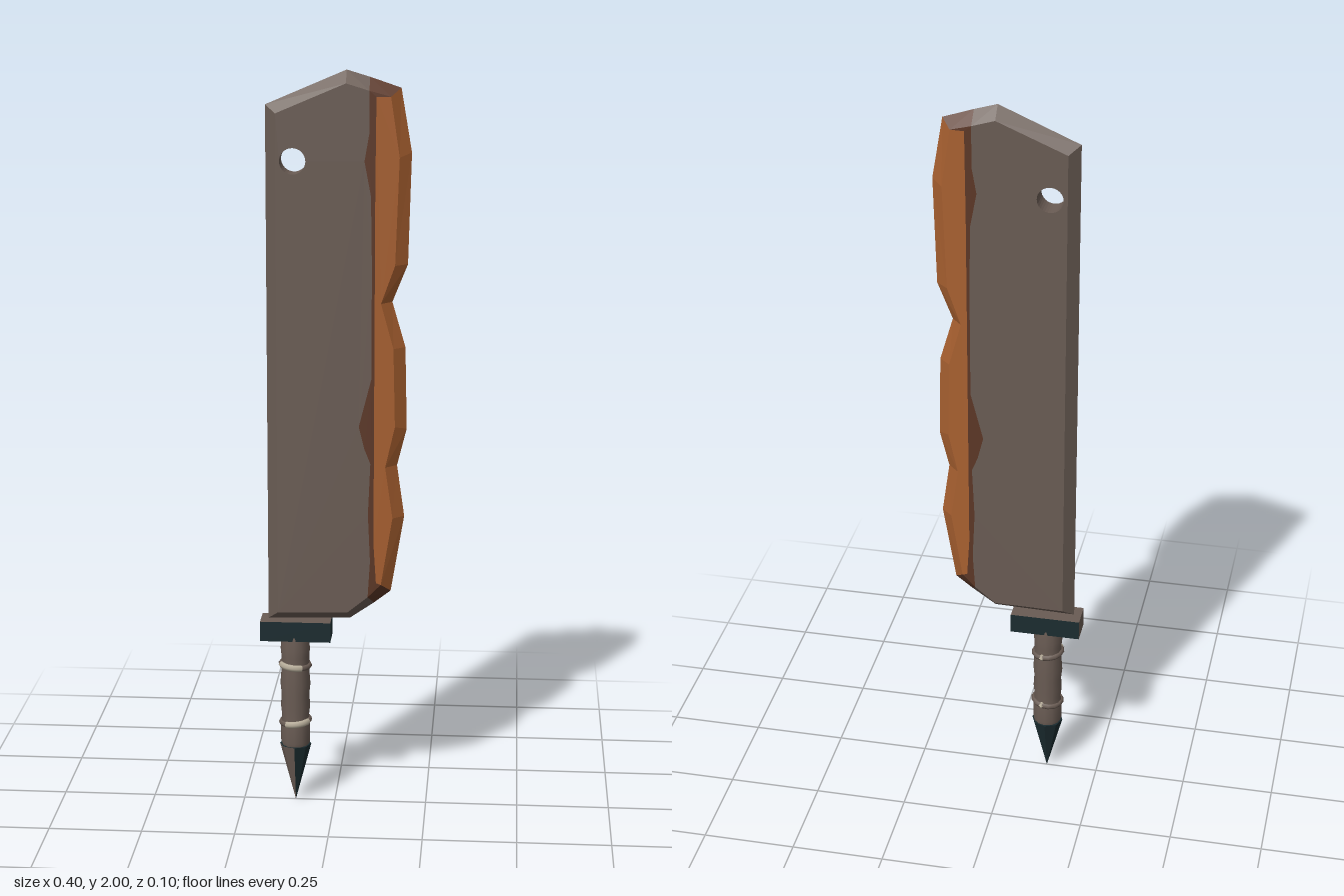
import * as THREE from 'three';

const mat = (name, color) => {
  const m = new THREE.MeshStandardMaterial({ color });
  m.name = name;
  return m;
};

export function createModel() {
  const steel = mat('dull steel', 0x6a5c54);
  const orange = mat('rust orange', 0xa86030);
  const brown = mat('dark rust', 0x5c3726);
  const teal = mat('dark teal', 0x1b2c30);
  const cream = mat('cream cord', 0xb5ab98);

  const group = new THREE.Group();
  const add = (name, geo, material, parent = group) => {
    const mesh = new THREE.Mesh(geo, material);
    mesh.name = name;
    parent.add(mesh);
    return mesh;
  };

  // Blade rim, counter-clockwise: outer x, y and the matching point on the flat face
  const rim = [
    [-0.18, 0.525, -0.152, 0.55], [0.04, 0.53, 0.035, 0.555],
    [0.105, 0.575, 0.09, 0.6], [0.15, 0.61, 0.125, 0.635],
    [0.185, 0.82, 0.155, 0.82], [0.165, 0.96, 0.135, 0.96],
    [0.19, 1.06, 0.16, 1.07], [0.185, 1.28, 0.155, 1.28],
    [0.15, 1.4, 0.122, 1.4], [0.19, 1.5, 0.158, 1.5],
    [0.198, 1.79, 0.168, 1.78], [0.17, 1.955, 0.145, 1.935],
    [0.09, 1.982, 0.09, 1.95], [0.03, 2.0, 0.03, 1.968],
    [-0.18, 1.91, -0.152, 1.89],
  ];
  const inset = rim.map((p) => [p[2], p[3]]);
  const rustBorder = [
    [0.09, 1.84], [0.078, 1.77], [0.095, 1.68], [0.098, 1.5], [0.098, 1.2],
    [0.065, 1.07], [0.08, 1.01], [0.096, 0.97], [0.09, 0.83], [0.096, 0.7],
  ];
  const edgeBorder = [[0.108, 1.935], [0.106, 1.7], [0.105, 0.75], [0.112, 0.64]];

  // Half thickness of the blade, fullest beside the cutting edge
  const half = (x) => (x < 0.1 ? 0.033 - (0.1 - x) * 0.02 : 0.033 - (x - 0.1) * 0.07);

  const plate = (name, pts, material, hole) => {
    const shape = new THREE.Shape(pts.map((p) => new THREE.Vector2(...p)));
    if (hole) shape.holes.push(hole);
    const geo = new THREE.ExtrudeGeometry(shape, { depth: 1, bevelEnabled: false, curveSegments: 16 });
    const pos = geo.attributes.position;
    for (let i = 0; i < pos.count; i++) {
      pos.setZ(i, (pos.getZ(i) > 0.5 ? 1 : -1) * half(pos.getX(i)));
    }
    geo.computeVertexNormals();
    add(name, geo, material);
  };

  // Flat faces of the blade
  const hole = new THREE.Path().absarc(-0.108, 1.768, 0.034, 0, Math.PI * 2, true);
  plate('bladeBody', [...inset.slice(0, 3), ...[...rustBorder].reverse(), ...inset.slice(12)], steel, hole);
  plate('rustBand', [inset[2], inset[3], ...[...edgeBorder].reverse(), inset[11], inset[12], ...rustBorder], brown);
  plate('cuttingFace', [...inset.slice(3, 12), ...edgeBorder], orange);

  // Bevel all round, meeting in a sharp line at z = 0
  const verts = [];
  const bevel = new THREE.BufferGeometry();
  rim.forEach((a, i) => {
    const b = rim[(i + 1) % rim.length];
    const oa = [a[0], a[1], 0], ob = [b[0], b[1], 0];
    for (const s of [1, -1]) {
      const ia = [a[2], a[3], s * half(a[2])], ib = [b[2], b[3], s * half(b[2])];
      const quad = s > 0 ? [ia, oa, ob, ia, ob, ib] : [ia, ob, oa, ia, ib, ob];
      verts.push(...quad.flat());
    }
    const m = i === 2 || i === 11 ? 1 : i > 2 && i < 11 ? 2 : 0;
    bevel.addGroup(i * 12, 12, m);
  });
  bevel.setAttribute('position', new THREE.Float32BufferAttribute(verts, 3));
  bevel.computeVertexNormals();
  add('bladeBevel', bevel, [steel, brown, orange]);

  // Guard: bare on top and at its back end
  const guard = add('guard', new THREE.BoxGeometry(0.19, 0.055, 0.073),
    [teal, steel, steel, teal, teal, teal]);
  guard.position.set(-0.105, 0.4975, 0);

  // Handle
  const handle = new THREE.Group();
  handle.name = 'handle';
  handle.position.x = -0.108;
  group.add(handle);
  const profile = [
    [0.036, 0.16], [0.04, 0.175], [0.04, 0.225], [0.037, 0.25], [0.04, 0.275],
    [0.038, 0.31], [0.041, 0.34], [0.038, 0.38], [0.038, 0.42], [0.04, 0.44], [0.037, 0.48],
  ].map((p) => new THREE.Vector2(...p));
  add('grip', new THREE.LatheGeometry(profile, 12), steel, handle);

  // Binding cords: a full ring with paler lengths in front and a knot behind
  [[0.232, 0.1, -0.3], [0.395, -0.08, 0.3]].forEach(([y, tilt, turn]) => {
    const binding = new THREE.Group();
    binding.name = 'binding';
    binding.position.y = y;
    binding.rotation.z = tilt;
    handle.add(binding);
    const cord = (name, tube, arc, start, material) => {
      const geo = new THREE.TorusGeometry(0.038, tube, 6, 14, arc);
      geo.rotateX(Math.PI / 2).rotateY(-start);
      add(name, geo, material, binding);
    };
    cord('bindingRing', 0.008, Math.PI * 2, 0, steel);
    cord('frontCord', 0.0095, 1.7, 0.75 + turn, cream);
    const knot = add('backKnot', new THREE.OctahedronGeometry(0.012), cream, binding);
    knot.position.set(0.01, 0, -0.037);
  });

  // Spike pommel, with one bare side
  const spike = new THREE.CylinderGeometry(0.043, 0, 0.165, 8, 1).toNonIndexed();
  spike.clearGroups();
  const p = spike.attributes.position;
  for (let i = 0; i < p.count; i += 3) {
    const x = p.getX(i) + p.getX(i + 1) + p.getX(i + 2);
    const z = p.getZ(i) + p.getZ(i + 1) + p.getZ(i + 2);
    const flatTop = Math.min(p.getY(i), p.getY(i + 1), p.getY(i + 2)) > 0;
    spike.addGroup(i, 3, !flatTop && x < -0.001 && z > 0.001 ? 1 : 0);
  }
  spike.computeVertexNormals();
  add('pommelSpike', spike, [teal, steel], handle).position.y = 0.0825;

  return group;
}
